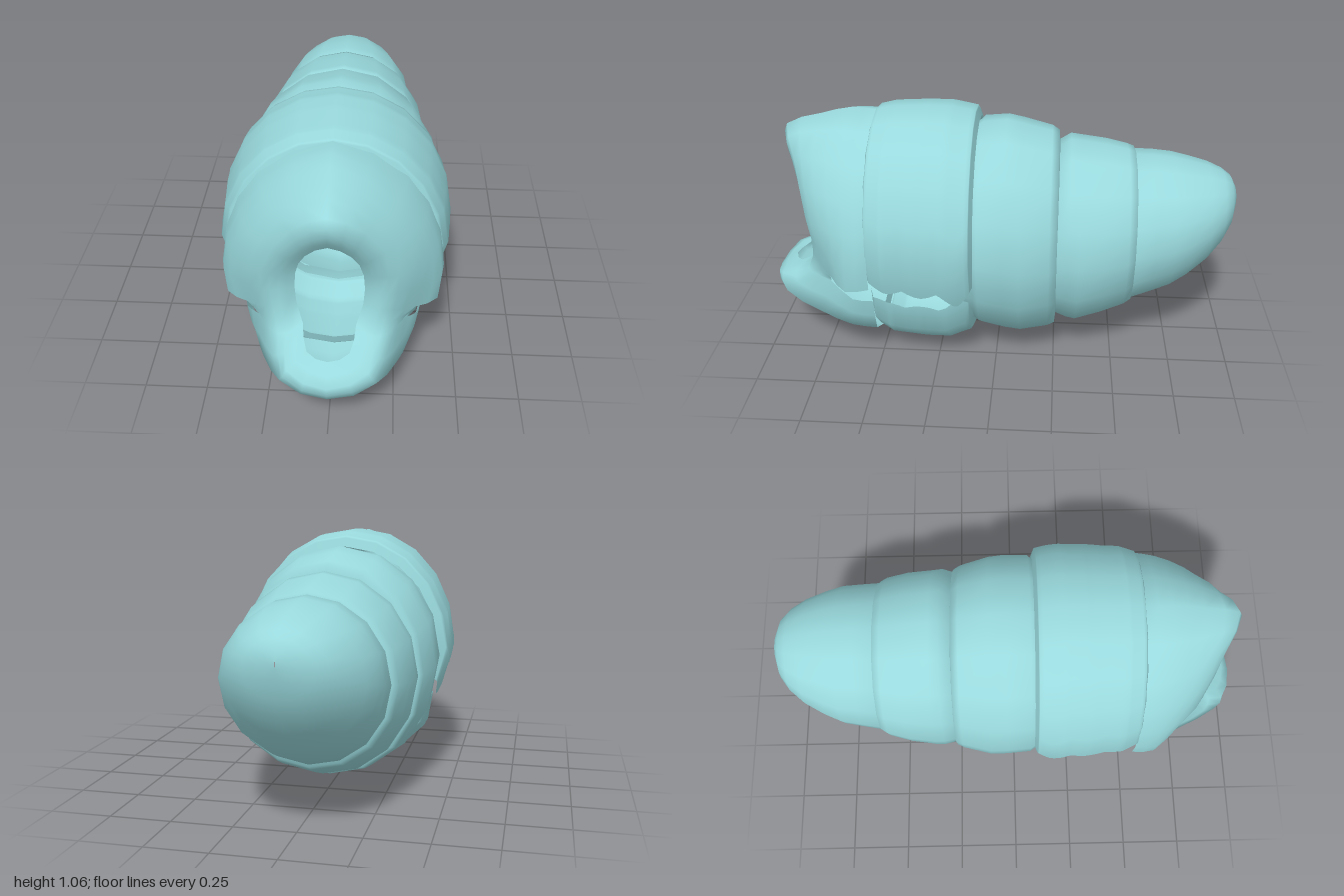
import * as THREE from 'three';

const material = new THREE.MeshStandardMaterial({ color: 0x99d9dd, side: THREE.DoubleSide });

// Smooth skin over rows of points; skip(row, column) leaves a quad out
function skin(name, rows, closed, skip = () => false) {
  const n = rows[0].length, index = [];
  const spans = closed ? n : n - 1;
  for (let i = 0; i < rows.length - 1; i++) {
    for (let j = 0; j < spans; j++) {
      if (skip(i, j)) continue;
      const k = (j + 1) % n;
      const a = i * n + j, b = i * n + k, c = a + n, d = b + n;
      index.push(a, b, c, b, d, c);
    }
  }
  const geometry = new THREE.BufferGeometry().setFromPoints(rows.flat());
  geometry.setIndex(index);
  geometry.computeVertexNormals();
  const mesh = new THREE.Mesh(geometry, material);
  mesh.name = name;
  return mesh;
}

// Point on an oval section [z, bottom, top, halfWidth]; angle 0 is the top, PI the bottom
function ovalPoint([z, bottom, top, w], angle) {
  return new THREE.Vector3(
    w * Math.sin(angle),
    (top + bottom) / 2 + Math.cos(angle) * (top - bottom) / 2,
    z
  );
}

// Closed body ring lofted through its sections, front to back
function ring(name, sections, sides = 16) {
  const rows = sections.map(s =>
    Array.from({ length: sides }, (_, j) => ovalPoint(s, j / sides * Math.PI * 2)));
  return skin(name, rows, true);
}

// Open shell: angles(z) gives the start and end of the arc; pinch draws its long edges inward
function shell(name, sections, angles, sides, pinch, steps = 6) {
  const rows = [];
  sections.forEach((s, i) => {
    const next = sections[i + 1];
    for (let k = 0; k < (next ? steps : 1); k++) {
      const mid = next ? s.map((v, q) => v + (next[q] - v) * k / steps) : s;
      const [a, b] = angles(mid[0]);
      const row = Array.from({ length: sides + 1 }, (_, j) => ovalPoint(mid, a + (b - a) * j / sides));
      row[0].x *= pinch;
      row[sides].x *= pinch;
      rows.push(row);
    }
  });
  return skin(name, rows, false);
}

// Head: meridians from top to bottom, each running from the rear rim to the face opening
function head() {
  const half = [
    [[0, 1.04, .51], [0, 1.05, .62], [0, 1.02, .75], [0, .97, .90], [0, .90, .91], [0, .82, .86]],
    [[.28, .90, .51], [.26, .90, .62], [.20, .90, .75], [.13, .88, .85], [.10, .82, .86], [.083, .75, .82]],
    [[.41, .66, .51], [.40, .65, .60], [.34, .66, .71], [.25, .65, .79], [.18, .64, .79], [.125, .63, .77]],
    [[.42, .42, .51], [.41, .40, .61], [.32, .42, .69], [.24, .47, .77], [.18, .49, .79], [.125, .49, .76]],
    [[.35, .32, .51], [.34, .32, .60], [.28, .37, .70], [.22, .38, .80], [.16, .38, .82], [.10, .41, .79]],
    [[.31, .16, .51], [.30, .165, .62], [.26, .20, .76], [.18, .25, .93], [.15, .32, .95], [.08, .35, .88]],
    [[0, .055, .51], [0, .04, .64], [0, .10, .82], [0, .20, .97], [0, .28, 1.0], [0, .34, .92]]
  ].map(m => m.map(p => new THREE.Vector3(...p)));
  const flip = p => new THREE.Vector3(-p.x, p.y, p.z);
  const meridians = [...half, ...half.slice(1, 6).reverse().map(m => m.map(flip))];

  // Smooth along each meridian, then around the head
  const fine = meridians.map(m => new THREE.CatmullRomCurve3(m).getPoints(10));
  const rows = [];
  for (let i = 10; i >= 0; i--) {
    const loop = new THREE.CatmullRomCurve3(fine.map(m => m[i]), true);
    rows.push(loop.getPoints(24).slice(0, 24));
  }
  // Leave the rear part of the side slits open
  const slit = [6, 7, 16, 17];
  return skin('head', rows, true, (i, j) => i >= 6 && slit.includes(j));
}

export function createModel() {
  const model = new THREE.Group();
  model.add(head());

  // Second segment: upper and lower shells with scalloped edges and a tooth at the rear
  const rad = THREE.MathUtils.degToRad;
  const scallop = z => Math.abs(Math.sin((z - .09) * 22));
  const tooth = z => Math.exp(-(((z - .15) / .04) ** 2));
  model.add(shell('upperShell', [
    [.53, .10, 1.0, .39], [.515, .05, 1.045, .425], [.45, .02, 1.06, .45], [.30, 0, 1.067, .465],
    [.20, 0, 1.065, .47], [.10, .04, 1.045, .455], [.085, .08, 1.0, .42]
  ], z => {
    const end = rad(103 + 3 * scallop(z) + 6 * tooth(z));
    return [-end, end];
  }, 12, .94));
  model.add(shell('lowerShell', [
    [.53, .10, 1.0, .36], [.515, .05, 1.045, .41], [.45, .015, 1.06, .445], [.30, .005, 1.067, .465],
    [.20, .005, 1.065, .465], [.11, .045, 1.045, .445], [.09, .09, 1.0, .40]
  ], z => {
    const start = rad(117 - 2.5 * scallop(z) - 3 * tooth(z));
    return [start, Math.PI * 2 - start];
  }, 8, .88));

  // Rear segments, each tucked into the one ahead
  model.add(ring('middleSegment', [
    [.18, .12, .95, .385], [.09, .09, .98, .41], [.07, .075, 1.0, .425],
    [-.03, .05, 1.01, .43], [-.10, .04, .995, .428], [-.22, .06, .965, .395],
    [-.25, .075, .945, .38], [-.255, .13, .88, .34]
  ]));
  model.add(ring('rearSegment', [
    [-.23, .16, .87, .35], [-.255, .13, .90, .372], [-.30, .11, .93, .382],
    [-.34, .10, .925, .38], [-.45, .14, .91, .368], [-.54, .18, .89, .345],
    [-.57, .20, .88, .325], [-.575, .25, .84, .29]
  ]));
  model.add(ring('tail', [
    [-.55, .24, .84, .30], [-.57, .21, .87, .32], [-.65, .245, .868, .31],
    [-.73, .285, .86, .30], [-.80, .335, .845, .272], [-.88, .41, .825, .23],
    [-.94, .49, .80, .18], [-.975, .56, .775, .13], [-.995, .63, .735, .06],
    [-1, .68, .70, .002]
  ]));
  return model;
}
